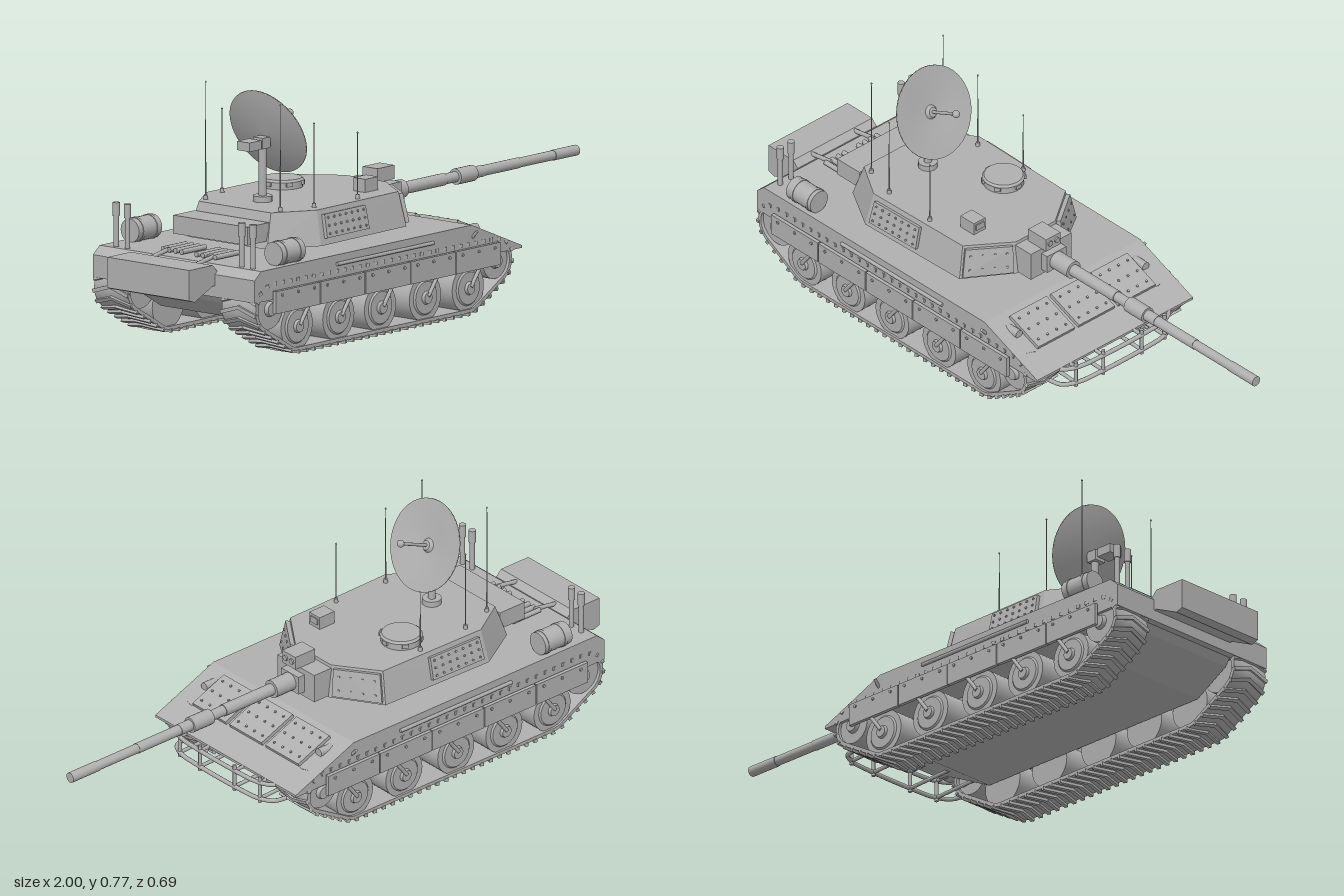
import * as THREE from 'three';
import { ConvexGeometry } from 'three/addons/geometries/ConvexGeometry.js';

const grey = new THREE.MeshStandardMaterial({ color: 0xb0b0b0 });
grey.name = 'plain grey';
const V = (x, y, z) => new THREE.Vector3(x, y, z);

export function createModel() {
  const root = new THREE.Group();
  root.name = 'tank';

  const add = (name, geo, parent = root) => {
    const m = new THREE.Mesh(geo, grey);
    m.name = name;
    parent.add(m);
    return m;
  };
  // box given by its limits on each axis
  const box = (name, x0, x1, y0, y1, z0, z1) => {
    const m = add(name, new THREE.BoxGeometry(x1 - x0, y1 - y0, z1 - z0));
    m.position.set((x0 + x1) / 2, (y0 + y1) / 2, (z0 + z1) / 2);
    return m;
  };
  // cylinder or cone running from point a to point b
  const rod = (name, a, b, ra, rb = ra, sides = 16) => {
    const d = b.clone().sub(a);
    const m = add(name, new THREE.CylinderGeometry(rb, ra, d.length(), sides));
    m.position.copy(a).add(b).multiplyScalar(0.5);
    m.quaternion.setFromUnitVectors(V(0, 1, 0), d.normalize());
    return m;
  };
  const ball = (name, p, r) => {
    add(name, new THREE.SphereGeometry(r, 12, 8)).position.copy(p);
  };
  const extrude = (name, pts, z0, z1) => {
    const s = new THREE.Shape(pts.map(p => new THREE.Vector2(p[0], p[1])));
    const m = add(name, new THREE.ExtrudeGeometry(s, { depth: z1 - z0, bevelEnabled: false }));
    m.position.z = z0;
    return m;
  };
  // bolted plate lying on the quad a-b-c-d (a,b below; d,c above)
  const plate = (name, [a, b, c, d], u0, u1, v0, v1, t, cols = 0, rows = 0) => {
    const at = (u, v) => a.clone().lerp(b, u).lerp(d.clone().lerp(c, u), v);
    const n = b.clone().sub(a).cross(d.clone().sub(a)).normalize();
    if (n.dot(at(0.5, 0.5).sub(V(-0.3, 0.2, 0))) < 0) n.negate();
    const pts = [];
    for (const [u, v] of [[u0, v0], [u1, v0], [u1, v1], [u0, v1]])
      for (const k of [-0.002, t]) pts.push(at(u, v).addScaledVector(n, k));
    add(name, new ConvexGeometry(pts));
    for (let i = 0; i < cols; i++) for (let j = 0; j < rows; j++) {
      const p = at(u0 + (u1 - u0) * (i + 0.5) / cols, v0 + (v1 - v0) * (j + 0.5) / rows);
      rod('bolt', p, p.clone().addScaledVector(n, t + 0.004), 0.004, 0.004, 6);
    }
  };

  // Hull
  extrude('upperHull', [[-0.88, 0.195], [0.37, 0.185], [0.37, 0.193], [0.135, 0.29], [-0.85, 0.29], [-0.88, 0.265]], -0.325, 0.325);
  extrude('lowerHull', [[-0.86, 0.2], [-0.84, 0.17], [-0.72, 0.1], [0.17, 0.1], [0.35, 0.19], [0.3, 0.2]], -0.188, 0.188);

  // Glacis plates
  const glacis = [V(0.37, 0.193, 0.325), V(0.37, 0.193, -0.325), V(0.135, 0.29, -0.325), V(0.135, 0.29, 0.325)];
  for (const [a, b] of [[0.245, 0.092], [0.075, -0.075], [-0.092, -0.245]])
    plate('glacisPlate', glacis, 0.5 - a / 0.65, 0.5 - b / 0.65, 0.36, 0.9, 0.012, 4, 3);

  // Running gear
  const circles = [[-0.8, 0.165, 0.075], [-0.675, 0.095, 0.077], [0.125, 0.095, 0.077], [0.255, 0.16, 0.068]];
  const beltLoop = grow => {
    const pts = [];
    for (let i = 0; i < 120; i++) {
      const t = i / 120 * Math.PI * 2, cx = Math.cos(t), cy = Math.sin(t);
      let best = null, far = -9;
      for (const c of circles) {
        const s = c[0] * cx + c[1] * cy + c[2];
        if (s > far) { far = s; best = c; }
      }
      pts.push(new THREE.Vector2(best[0] + (best[2] + grow) * cx, best[1] + (best[2] + grow) * cy));
    }
    return pts;
  };
  const outer = new THREE.Shape(beltLoop(0));
  outer.closePath();
  const ring = new THREE.Shape(beltLoop(0));
  ring.holes.push(new THREE.Path(beltLoop(-0.012)));
  const beltGeo = new THREE.ExtrudeGeometry(ring, { depth: 0.136, bevelEnabled: false });
  const cleatGeo = new THREE.BoxGeometry(0.012, 0.011, 0.076);
  const links = outer.getSpacedPoints(72);

  for (const s of [1, -1]) {
    const zc = s * 0.257;
    add('trackBelt', beltGeo).position.z = zc - 0.068;
    for (let i = 0; i < 72; i++) {
      const p = links[i], q = links[(i + 1) % 72];
      const link = new THREE.Group();
      link.name = 'trackLink';
      link.position.set((p.x + q.x) / 2, (p.y + q.y) / 2, zc);
      link.rotation.z = Math.atan2(q.y - p.y, q.x - p.x);
      for (const k of [1, -1]) {
        const c = add('cleat', cleatGeo, link);
        c.position.set(0, -0.003, k * 0.034);
        c.rotation.y = k * 0.3;
      }
      root.add(link);
    }
    for (const x of [-0.675, -0.48, -0.285, -0.075, 0.125]) {
      rod('roadWheel', V(x, 0.095, s * 0.2), V(x, 0.095, s * 0.318), 0.074, 0.074, 28);
      rod('wheelDisc', V(x, 0.095, s * 0.318), V(x, 0.095, s * 0.323), 0.055, 0.05, 28);
      rod('wheelHub', V(x, 0.095, s * 0.32), V(x, 0.095, s * 0.332), 0.022, 0.018);
      rod('swingArm', V(x, 0.1, s * 0.331), V(x + 0.045, 0.16, s * 0.331), 0.006);
    }
    for (const [x, y, r] of [circles[0], circles[3]]) {
      rod('endWheel', V(x, y, s * 0.2), V(x, y, s * 0.315), r - 0.012, r - 0.012, 24);
      rod('endHub', V(x, y, s * 0.31), V(x, y, s * 0.328), 0.025, 0.02);
    }
    // Side skirts, in five panels
    for (let i = 0; i < 5; i++) {
      const x = -0.8 + i * 0.211;
      box('skirtPanel', x, x + 0.207, 0.152, 0.222, s * 0.335 - 0.006, s * 0.335 + 0.006);
      for (const dx of [0.03, 0.105, 0.18])
        rod('skirtBolt', V(x + dx, 0.208, s * 0.336), V(x + dx, 0.208, s * 0.345), 0.005, 0.005, 6);
    }
    rod('cleaningRod', V(-0.5, 0.262, s * 0.329), V(-0.05, 0.262, s * 0.329), 0.006, 0.006, 8);
    rod('headlight', V(0.15, 0.262, s * 0.265), V(0.225, 0.262, s * 0.265), 0.014);
    rod('sideMarker', V(0.14, 0.25, s * 0.322), V(0.14, 0.272, s * 0.342), 0.005, 0.005, 8);

    // Rear fuel drums and exhaust stacks
    rod('fuelDrum', V(-0.75, 0.325, s * 0.289), V(-0.642, 0.325, s * 0.289), 0.037, 0.037, 24);
    for (const x of [-0.73, -0.665])
      rod('drumStrap', V(x, 0.325, s * 0.289), V(x + 0.01, 0.325, s * 0.289), 0.039, 0.039, 24);
    for (const z of [0.275, 0.23]) {
      rod('exhaustStack', V(-0.83, 0.285, s * z), V(-0.83, 0.39, s * z), 0.008);
      rod('exhaustCap', V(-0.83, 0.385, s * z), V(-0.83, 0.427, s * z), 0.011);
    }
    for (const z of [0.03, 0.055, 0.08, 0.105])
      rod('deckPipe', V(-0.81, 0.3, s * z), V(-0.7, 0.3, s * z), 0.008, 0.008, 10);
    rod('boxBracket', V(-0.92, 0.28, s * 0.09), V(-0.8, 0.3, s * 0.09), 0.007, 0.007, 8);
  }

  // Rear stowage
  extrude('rearBox', [[-1, 0.2], [-0.975, 0.192], [-0.89, 0.23], [-0.87, 0.23], [-0.87, 0.275], [-0.89, 0.295], [-1, 0.295]], -0.165, 0.165);
  for (const y of [0.22, 0.245, 0.27]) box('rearBoxRib', -1, -0.995, y - 0.004, y + 0.004, -0.14, 0.14);
  box('bustleBox', -0.71, -0.61, 0.328, 0.385, -0.15, 0.15);

  // Front guard rails
  for (const y of [0.187, 0.131]) {
    const half = [[0.33, 0.235], [0.37, 0.225], [0.395, 0.18], [0.403, 0.09]];
    const pts = [...half.map(p => V(p[0], y, p[1])), ...half.reverse().map(p => V(p[0], y, -p[1]))];
    add('guardRail', new THREE.TubeGeometry(new THREE.CatmullRomCurve3(pts), 40, 0.007, 8));
  }
  for (const z of [0.185, 0.08, -0.08, -0.185]) {
    const x = Math.abs(z) > 0.1 ? 0.393 : 0.403;
    rod('guardPost', V(x, 0.118, z), V(x, 0.207, z), 0.006, 0.006, 8);
    rod('guardStrut', V(0.33, 0.19, z), V(x, 0.187, z), 0.006, 0.006, 8);
    rod('guardLowerStrut', V(0.23, 0.138, z), V(x, 0.131, z), 0.006, 0.006, 8);
  }

  // Turret
  const low = [[-0.63, 0.16], [-0.48, 0.248], [-0.07, 0.238], [0.028, 0.087]];
  const high = [[-0.595, 0.145], [-0.47, 0.222], [-0.08, 0.215], [0.015, 0.082]];
  const corner = (list, y, i, s) => V(list[i][0], y, s * list[i][1]);
  const shell = [];
  for (const s of [1, -1]) for (let i = 0; i < 4; i++)
    shell.push(corner(low, 0.305, i, s), corner(high, 0.412, i, s));
  add('turret', new ConvexGeometry(shell));
  rod('turretRing', V(-0.25, 0.285, 0), V(-0.25, 0.308, 0), 0.19, 0.19, 40);
  for (const s of [1, -1]) {
    const wall = i => [corner(low, 0.305, i, s), corner(low, 0.305, i + 1, s), corner(high, 0.412, i + 1, s), corner(high, 0.412, i, s)];
    plate('cheekPlate', wall(2), 0.04, 0.93, 0.08, 0.92, 0.014, 4, 2);
    plate('turretSidePlate', wall(1), 0.05, 0.55, 0.18, 0.85, 0.012, 7, 3);
  }

  // Mantlet and gun
  box('mantlet', 0.01, 0.085, 0.308, 0.402, -0.085, 0.085);
  box('gunCradle', 0.085, 0.11, 0.325, 0.385, -0.04, 0.04);
  const barrel = [[0.08, 0.185, 0.029], [0.185, 0.38, 0.019], [0.38, 0.44, 0.0165], [0.435, 0.515, 0.025],
    [0.515, 0.56, 0.018], [0.56, 0.73, 0.0165], [0.73, 0.89, 0.015], [0.89, 1, 0.0165]];
  for (const [a, b, r] of barrel) rod('gunBarrel', V(a, 0.355, 0), V(b, 0.355, 0), r, r, 20);
  box('gunSight', 0.025, 0.105, 0.402, 0.445, -0.02, 0.04);
  for (const z of [-0.004, 0.024]) rod('sightLens', V(0.1, 0.425, z), V(0.11, 0.425, z), 0.009);

  // Roof fittings
  rod('commanderHatch', V(-0.245, 0.41, -0.11), V(-0.245, 0.436, -0.11), 0.063, 0.063, 28);
  rod('hatchLid', V(-0.245, 0.434, -0.11), V(-0.245, 0.441, -0.11), 0.066, 0.06, 28);
  for (let i = 0; i < 6; i++) {
    const t = i * Math.PI / 3, c = Math.cos(t), d = Math.sin(t);
    const m = box('hatchPeriscope', -0.007, 0.007, 0.421, 0.434, -0.01, 0.01);
    m.position.x = -0.245 + 0.062 * c;
    m.position.z = -0.11 + 0.062 * d;
    m.rotation.y = -t;
  }
  box('roofSight', -0.16, -0.1, 0.41, 0.453, 0.102, 0.15);
  box('roofSightWindow', -0.1, -0.096, 0.425, 0.445, 0.11, 0.142);

  // Radar dish on its mast
  rod('mastBase', V(-0.465, 0.41, 0), V(-0.465, 0.43, 0), 0.03);
  rod('mast', V(-0.465, 0.42, 0), V(-0.465, 0.61, 0), 0.012);
  box('mastHead', -0.488, -0.452, 0.578, 0.612, -0.02, 0.02);
  box('dishCounterweight', -0.555, -0.5, 0.58, 0.608, -0.025, 0.025);
  rod('counterweightArm', V(-0.51, 0.594, 0), V(-0.46, 0.6, 0), 0.007);
  const axis = V(0.92, 0.4, 0).normalize();
  const bowl = [[0.0001, -0.012], [0.07, -0.008], [0.145, 0.006], [0.145, 0.012], [0.07, -0.001], [0.0001, -0.005]];
  const dish = add('radarDish', new THREE.LatheGeometry(bowl.map(p => new THREE.Vector2(p[0], p[1])), 48));
  dish.position.set(-0.447, 0.621, 0);
  dish.quaternion.setFromUnitVectors(V(0, 1, 0), axis);
  const hub = dish.position.clone();
  const feed = hub.clone().addScaledVector(axis, 0.118);
  rod('dishHub', hub.clone().addScaledVector(axis, -0.006), hub.clone().addScaledVector(axis, 0.006), 0.024, 0.015);
  rod('feedArm', hub, feed, 0.005, 0.005, 10);
  ball('feedHorn', feed, 0.012);

  // Whip antennas
  for (const [x, top, z] of [[-0.557, 0.78, -0.15], [-0.557, 0.745, 0.15], [-0.44, 0.675, 0.185],
    [-0.44, 0.675, -0.185], [-0.248, 0.62, 0.195], [-0.248, 0.62, -0.195]]) {
    rod('antennaBase', V(x, 0.4, z), V(x, 0.425, z), 0.008, 0.006, 10);
    rod('antenna', V(x, 0.42, z), V(x, top, z), 0.002, 0.0012, 6);
    ball('antennaTip', V(x, top - 0.003, z), 0.003);
  }
  return root;
}
